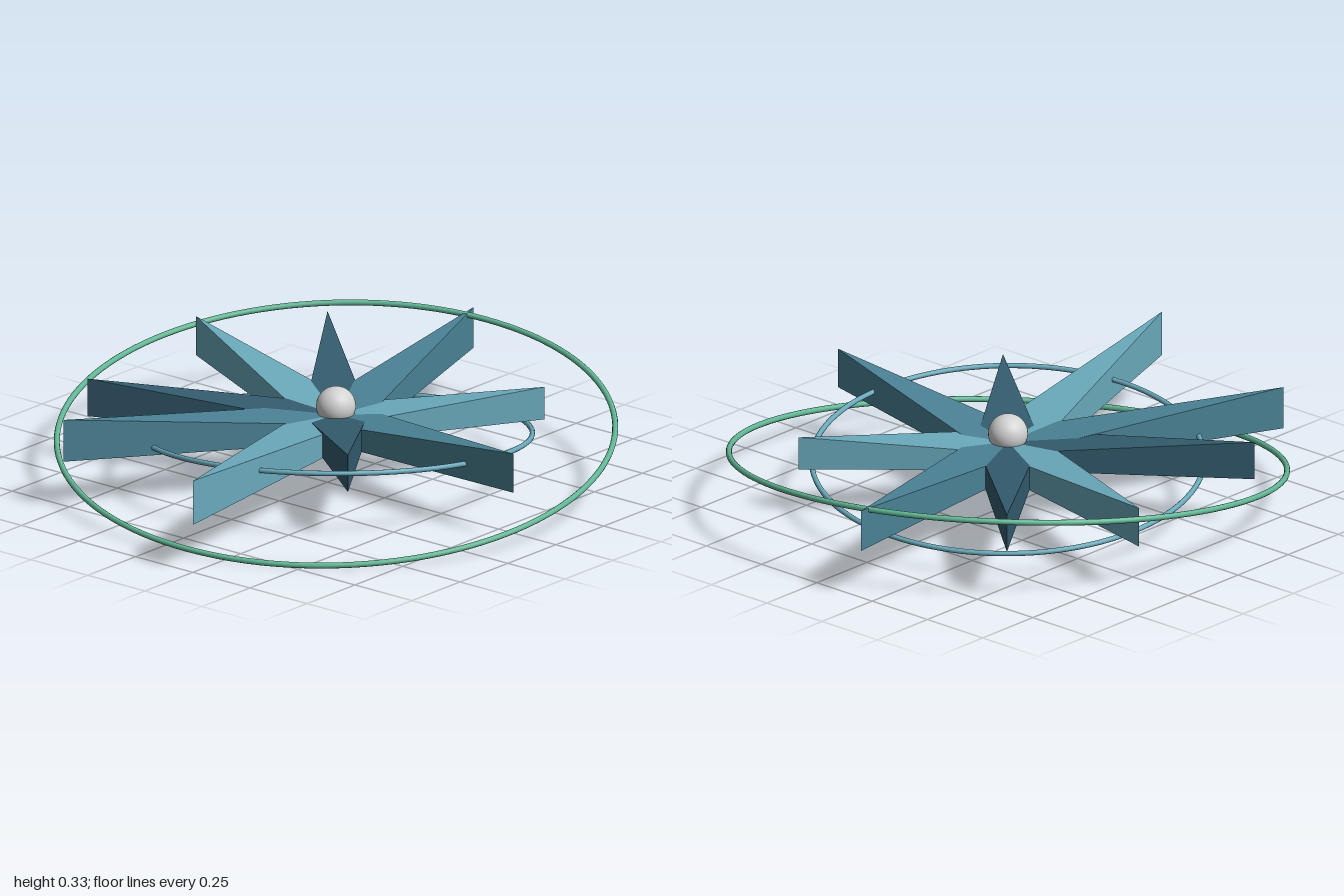
import * as THREE from 'three';

const mat = (name, color) => {
  const m = new THREE.MeshStandardMaterial({ color });
  m.name = name;
  return m;
};

export function createModel() {
  const lightTeal = mat('light teal', 0x6aaabc);
  const midTeal = mat('mid teal', 0x4a8295);
  const darkTeal = mat('dark teal', 0x335c6e);
  const green = mat('sea green', 0x62b896);
  const pearl = mat('pearl', 0xd2d2d2);

  const model = new THREE.Group();
  model.name = 'ringedStar';
  const CZ = -0.045; // centre of the star along z
  const BASE_Y = 0.172;

  // Wedge blade along +x: wide low root, tall knife-edge tip
  function bladeGeometry(length, tipHeight, halfWidth = 0.11, rootHeight = 0.06) {
    const shape = new THREE.Shape();
    shape.moveTo(0, -halfWidth).lineTo(length, 0).lineTo(0, halfWidth).closePath();
    const geo = new THREE.ExtrudeGeometry(shape, { depth: 1, bevelEnabled: false });
    geo.rotateX(-Math.PI / 2);
    const p = geo.attributes.position;
    for (let i = 0; i < p.count; i++) {
      const t = p.getX(i) / length;
      if (p.getY(i) > 0.5) p.setY(i, rootHeight + (tipHeight - rootHeight) * t);
    }
    geo.computeVertexNormals();
    return geo;
  }

  // Blade tips: x, z, tip height, colour
  const blades = [
    [0.86, 0.055, 0.138, midTeal],
    [0.43, 0.405, 0.13, darkTeal],
    [0.25, 1.0, 0.156, lightTeal],
    [-0.5, 0.78, 0.148, midTeal],
    [-0.74, 0.37, 0.133, darkTeal],
    [-0.865, -0.345, 0.138, lightTeal],
    [-0.57, -0.68, 0.133, darkTeal],
    [-0.2, -1.0, 0.144, midTeal],
    [0.455, -0.59, 0.115, lightTeal],
  ];
  const star = new THREE.Group();
  star.name = 'starBlades';
  blades.forEach(([x, z, h, material], i) => {
    const dz = z - CZ;
    const blade = new THREE.Mesh(bladeGeometry(Math.hypot(x, dz), h), material);
    blade.name = `blade${i + 1}`;
    blade.position.set(0, BASE_Y, CZ);
    blade.rotation.y = -Math.atan2(dz, x);
    star.add(blade);
  });
  model.add(star);

  // Hub ball
  const hub = new THREE.Mesh(new THREE.SphereGeometry(0.067, 32, 20), pearl);
  hub.name = 'hubBall';
  hub.position.set(0, 0.263, CZ);
  model.add(hub);

  // Tilted orbit rings; the normal sets the tilt
  function ring(name, radius, tube, y, normal, material) {
    const mesh = new THREE.Mesh(new THREE.TorusGeometry(radius, tube, 10, 128), material);
    mesh.name = name;
    mesh.position.set(0, y, CZ);
    mesh.quaternion.setFromUnitVectors(new THREE.Vector3(0, 0, 1), normal.normalize());
    model.add(mesh);
  }
  ring('outerRing', 0.937, 0.01, 0.163, new THREE.Vector3(0.08, 1, 0.14), green);
  ring('innerRing', 0.659, 0.009, 0.168, new THREE.Vector3(-0.078, 1, -0.095), lightTeal);

  return model;
}
